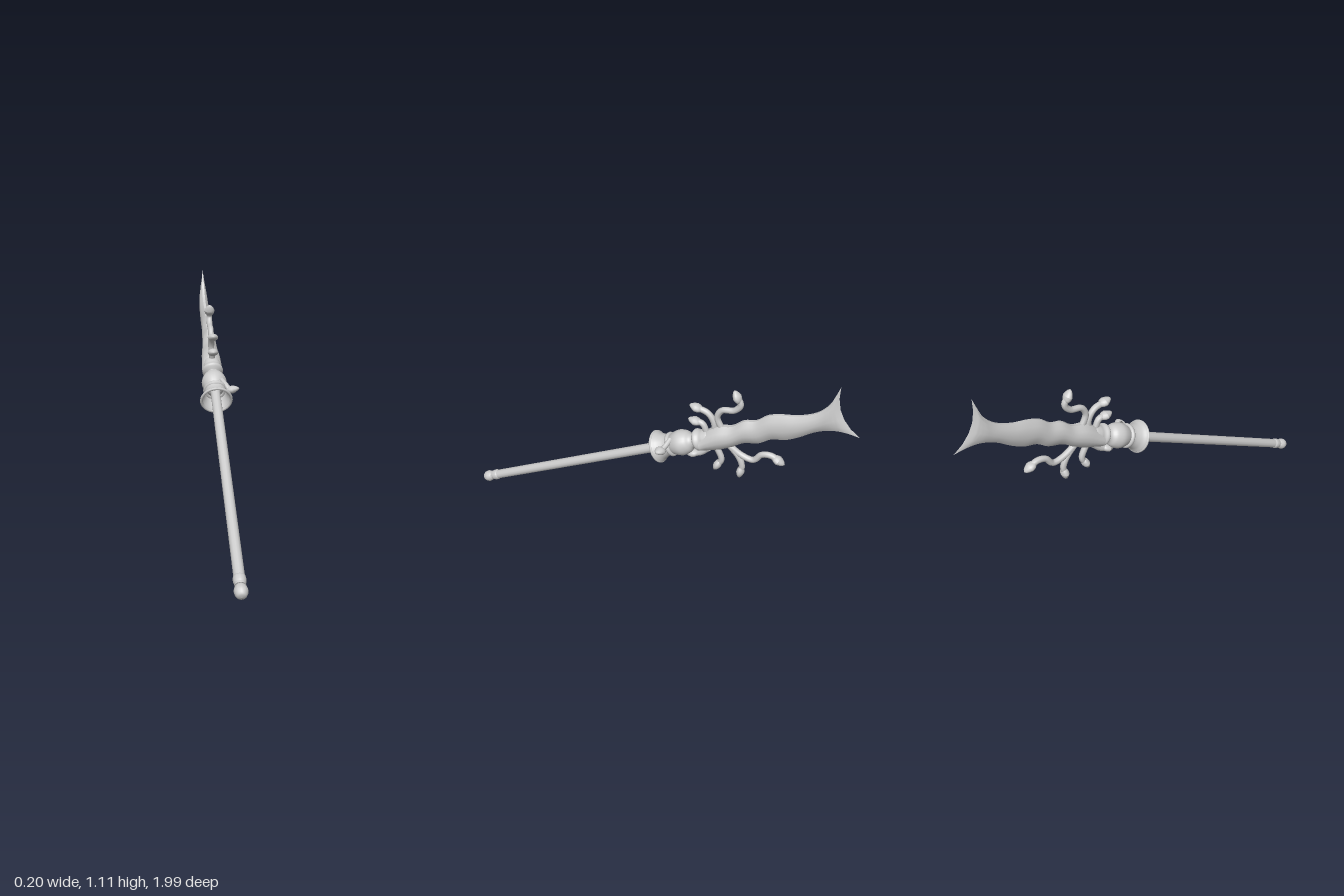
import * as THREE from 'three';
import { toCreasedNormals } from 'three/addons/utils/BufferGeometryUtils.js';

const mat = new THREE.MeshStandardMaterial({ color: 0xcccccc });
const openMat = new THREE.MeshStandardMaterial({ color: 0xcccccc, side: THREE.DoubleSide });
const AXIS_X = -0.015;

function add(parent, name, geo, material = mat) {
  const mesh = new THREE.Mesh(geo, material);
  mesh.name = name;
  parent.add(mesh);
  return mesh;
}

// Smooth turned part from [radius, height] points
function turned(points, sides = 24) {
  const curve = new THREE.SplineCurve(points.map(([r, h]) => new THREE.Vector2(r, h)));
  const profile = curve.getPoints(points.length * 4);
  profile.forEach((p) => { p.x = Math.max(p.x, 0); });
  return new THREE.LatheGeometry(profile, sides);
}

// Tube body through [z, y] points (optional x), ending in a flattened head
function serpent(name, path, radius = 0.015) {
  const group = new THREE.Group();
  group.name = name;
  const curve = new THREE.CatmullRomCurve3(path.map(([z, y, x = 0]) => new THREE.Vector3(x, y, z)));
  add(group, 'serpentBody', new THREE.TubeGeometry(curve, 28, radius, 8), openMat);
  const headGeo = new THREE.SphereGeometry(1, 12, 8);
  const pos = headGeo.attributes.position;
  // Head narrows toward the snout
  for (let i = 0; i < pos.count; i++) {
    const t = 1 - 0.35 * Math.max(0, pos.getZ(i));
    pos.setXYZ(i, pos.getX(i) * 0.027 * t, pos.getY(i) * 0.019 * t, pos.getZ(i) * 0.034);
  }
  headGeo.computeVertexNormals();
  const head = add(group, 'serpentHead', headGeo);
  const end = curve.getPoint(1);
  head.position.copy(end);
  head.lookAt(end.clone().add(curve.getTangent(1)));
  return group;
}

// Blade lofted between its upper and lower edges, with a forked end
function bladeGeometry() {
  const upper = [[-.265, .687], [-.35, .757], [-.42, .778], [-.473, .821], [-.527, .837], [-.58, .88],
    [-.639, .901], [-.714, .917], [-.794, .955], [-.842, 1.008], [-.864, 1.061], [-.88, 1.11]];
  const lower = [[-.291, .607], [-.366, .634], [-.425, .666], [-.479, .703], [-.553, .725], [-.607, .762],
    [-.671, .778], [-.73, .81], [-.799, .858], [-.864, .885], [-.928, .89], [-.992, .88]];
  const half = [.052, .047, .04, .034, .03, .028, .027, .026, .025, .022, .015, 0];
  const across = [-1, -.6, -.2, .2, .6, 1];
  const thick = [.25, .8, 1, 1, .8, .25];
  const toCurve = (pts) => new THREE.CatmullRomCurve3(pts.map(([z, y]) => new THREE.Vector3(0, y, z)));
  const up = toCurve(upper), low = toCurve(lower);
  const rows = 44, ring = across.length * 2, verts = [], index = [];
  for (let i = 0; i <= rows; i++) {
    const t = i / rows, s = t * (half.length - 1);
    const n = Math.min(Math.floor(s), half.length - 2);
    const h = THREE.MathUtils.lerp(half[n], half[n + 1], s - n);
    const a = up.getPoint(t), b = low.getPoint(t);
    const pull = Math.max(0, (s - 8) / 3);
    for (let k = 0; k < ring; k++) {
      const side = k < across.length ? 1 : -1;
      const j = side > 0 ? k : ring - 1 - k;
      const v = across[j];
      const p = a.clone().lerp(b, (v + 1) / 2);
      const notch = pull * (1 - v * v);
      verts.push(side * h * thick[j], p.y - 0.02 * notch, p.z + 0.035 * notch);
    }
  }
  for (let i = 0; i < rows; i++) {
    for (let k = 0; k < ring; k++) {
      const a = i * ring + k, b = i * ring + (k + 1) % ring;
      index.push(a, b, a + ring, b, b + ring, a + ring);
    }
  }
  const geo = new THREE.BufferGeometry();
  geo.setAttribute('position', new THREE.Float32BufferAttribute(verts, 3));
  geo.setIndex(index);
  return toCreasedNormals(geo, 0.6);
}

export function createModel() {
  const model = new THREE.Group();
  model.name = 'serpentStaff';
  model.position.x = AXIS_X;

  // Turned parts along the tilted staff axis
  const staff = new THREE.Group();
  staff.name = 'staff';
  staff.position.set(0, 0.019, 0.997);
  staff.rotation.x = -THREE.MathUtils.degToRad(63.2);
  model.add(staff);

  const shaft = add(staff, 'shaft', new THREE.CylinderGeometry(0.024, 0.024, 1.24, 12));
  shaft.position.y = 0.68;
  add(staff, 'pommel', turned([[0, 0], [.02, .006], [.03, .03], [.025, .052], [.019, .062],
    [.026, .072], [.028, .088], [.027, .1], [.022, .108]], 12));

  // Open bell with a rolled lip
  const bell = turned([[.066, 1.186], [.077, 1.176], [.076, 1.186], [.063, 1.205], [.054, 1.23],
    [.052, 1.25], [.05, 1.262]]);
  add(staff, 'bell', bell, openMat);
  const lip = add(staff, 'bellLip', new THREE.TorusGeometry(0.074, 0.007, 8, 28));
  lip.rotation.x = Math.PI / 2;
  lip.position.y = 1.18;
  const band = add(staff, 'band', new THREE.TorusGeometry(0.049, 0.011, 8, 28));
  band.rotation.x = Math.PI / 2;
  band.position.y = 1.256;

  add(staff, 'bulb', turned([[.024, 1.235], [.047, 1.262], [.06, 1.295], [.062, 1.322], [.052, 1.352],
    [.036, 1.37], [.031, 1.385], [.036, 1.395]]));
  add(staff, 'collar', turned([[.031, 1.385], [.05, 1.398], [.053, 1.41], [.045, 1.428],
    [.044, 1.45], [.036, 1.48], [0, 1.5]]));

  add(model, 'blade', bladeGeometry());

  // Serpents curling out above and below the blade base
  const serpents = {
    tallUpperSerpent: [[-.377, .735], [-.345, .805], [-.366, .848], [-.425, .864], [-.452, .901], [-.432, .938]],
    middleUpperSerpent: [[-.334, .71], [-.329, .773], [-.297, .815], [-.24, .83]],
    shortUpperSerpent: [[-.302, .69], [-.275, .748], [-.236, .754]],
    rearLowerSerpent: [[-.313, .62], [-.27, .58], [-.232, .567]],
    shortLowerSerpent: [[-.345, .645], [-.377, .575], [-.358, .535]],
    middleLowerSerpent: [[-.395, .68], [-.457, .618], [-.479, .57], [-.474, .53]],
    longLowerSerpent: [[-.405, .67], [-.473, .628], [-.532, .618], [-.57, .66], [-.615, .667], [-.65, .65]],
  };
  for (const [name, path] of Object.entries(serpents)) model.add(serpent(name, path));

  // Small serpent wrapped round the bell, its head out on the left side
  model.add(serpent('bellSerpent', [[-.13, .64, .03], [-.115, .61, .055], [-.1, .59, .072], [-.098, .593, .085]], 0.013));

  return model;
}
